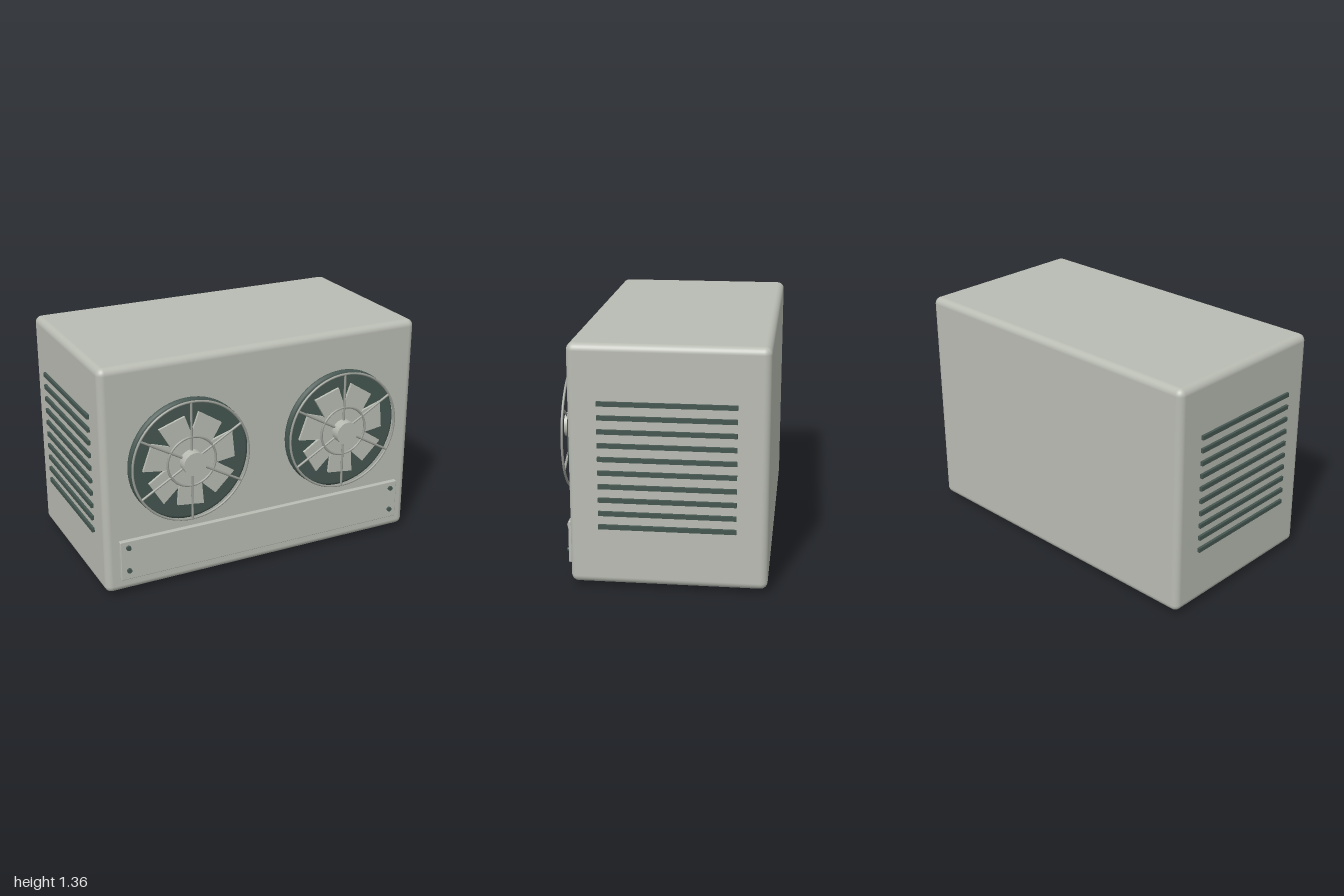
import * as THREE from 'three';
import { RoundedBoxGeometry } from 'three/addons/geometries/RoundedBoxGeometry.js';

const material = (name, color) => {
  const m = new THREE.MeshStandardMaterial({ color });
  m.name = name;
  return m;
};

export function createModel() {
  const root = new THREE.Group();
  root.name = 'twinFanUnit';
  const shell = material('paleGrey', 0xb9bcb3);
  const dark = material('darkGreenGrey', 0x455651);
  const wire = material('wireGrey', 0x9c9f98);

  const add = (parent, name, geometry, mat, x = 0, y = 0, z = 0) => {
    const mesh = new THREE.Mesh(geometry, mat);
    mesh.name = name;
    mesh.position.set(x, y, z);
    parent.add(mesh);
    return mesh;
  };
  // cylinder with its axis along z
  const disc = (r, depth, sides) => new THREE.CylinderGeometry(r, r, depth, sides).rotateX(Math.PI / 2);

  // Housing
  add(root, 'housing', new RoundedBoxGeometry(1.97, 1.335, 1.07, 4, 0.04), shell, 0, 0.6925, -0.055);

  // Service panel and its screws
  add(root, 'servicePanel', new RoundedBoxGeometry(1.81, 0.24, 0.03, 2, 0.005), shell, 0, 0.227, 0.49);

  // Fan blade: a swept paddle that widens towards the tip
  const bladeShape = new THREE.Shape([
    [0.04, -0.03], [0.15, -0.075], [0.255, -0.085], [0.275, 0.075], [0.15, 0.065], [0.04, 0.03],
  ].map(([x, y]) => new THREE.Vector2(x, y)));
  const bladeGeometry = new THREE.ExtrudeGeometry(bladeShape, { depth: 0.015, bevelEnabled: false });

  // Rounded dark backing of the fan
  const backing = new THREE.LatheGeometry([
    [0.34, 0], [0.352, 0.004], [0.36, 0.012], [0.36, 0.022], [0.352, 0.031], [0.34, 0.035], [0, 0.035],
  ].map(([r, y]) => new THREE.Vector2(r, y)), 64).rotateX(Math.PI / 2);

  for (const side of [-1, 1]) {
    const fan = new THREE.Group();
    fan.name = side > 0 ? 'leftFan' : 'rightFan';
    fan.position.set(side * 0.483, 0.773, 0.48);
    root.add(fan);

    add(fan, 'fanBacking', backing, dark);
    for (let i = 0; i < 7; i++) {
      const blade = add(fan, 'fanBlade', bladeGeometry, shell, 0, 0, 0.036 + i * 0.0003);
      blade.rotation.z = (i + 0.25) * Math.PI * 2 / 7;
    }
    add(fan, 'fanHub', disc(0.068, 0.075, 32), shell, 0, 0, 0.0725);

    // Wire guard
    for (const r of [0.35, 0.145]) {
      add(fan, 'guardRing', new THREE.TorusGeometry(r, 0.007, 8, 64), wire, 0, 0, 0.062);
    }
    for (let i = 0; i < 6; i++) {
      const a = Math.PI / 6 + i * Math.PI / 3;
      const spoke = add(fan, 'guardSpoke', new THREE.CylinderGeometry(0.007, 0.007, 0.29, 8), wire,
        Math.cos(a) * 0.205, Math.sin(a) * 0.205, 0.062);
      spoke.rotation.z = a - Math.PI / 2;
    }

    // Panel screws
    for (const y of [0.165, 0.307]) {
      add(root, 'panelScrew', disc(0.014, 0.015, 16), dark, side * 0.858, y, 0.511);
    }

    // Side vents
    for (let i = 0; i < 10; i++) {
      add(root, 'sideVent', new THREE.BoxGeometry(0.03, 0.025, 0.74), dark,
        side * 0.985, 0.36 + i * 0.076, -0.05);
    }

    // Foot rail
    add(root, 'footRail', new THREE.BoxGeometry(0.185, 0.04, 0.82), dark, side * 0.775, 0.02, -0.05);
  }
  return root;
}
